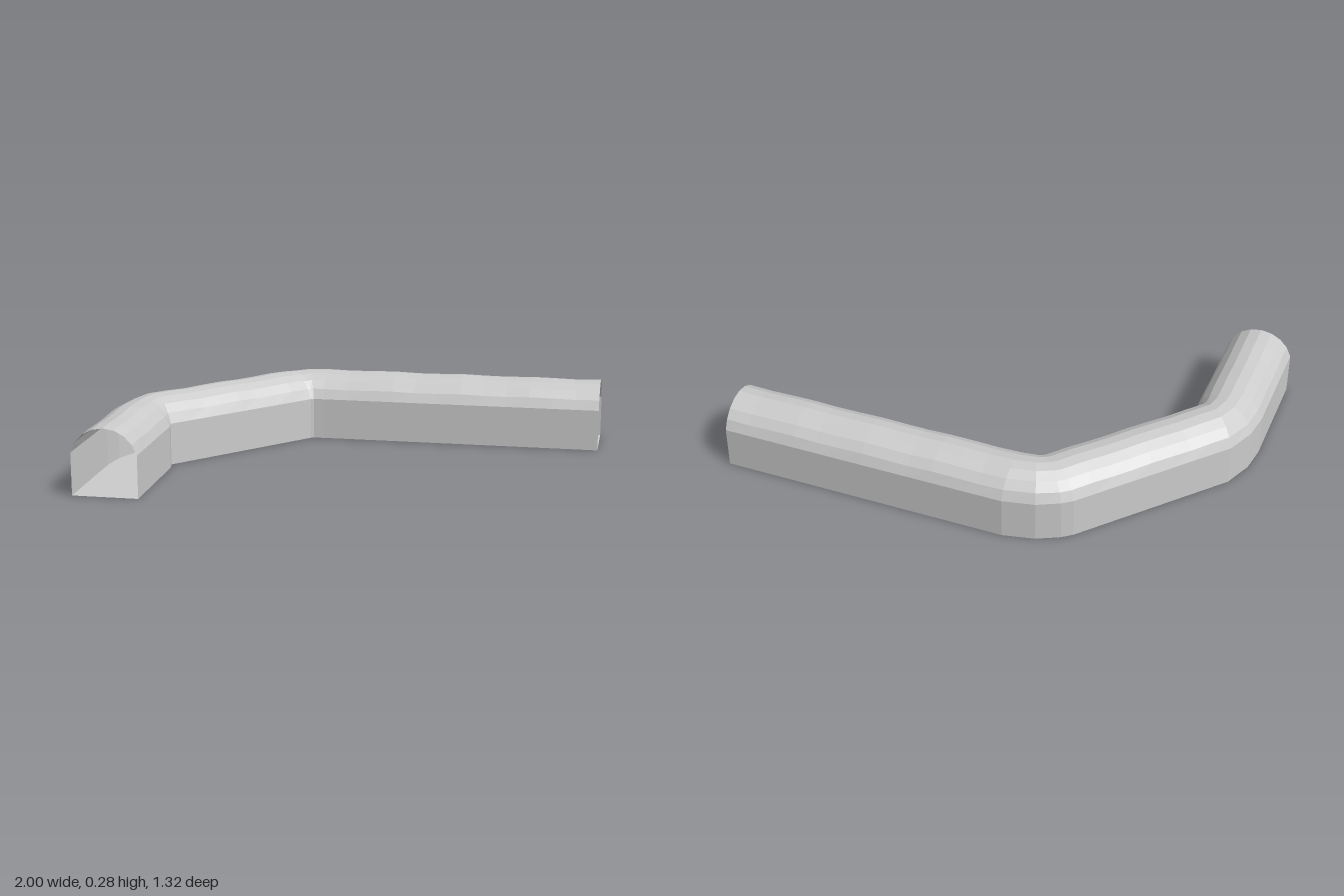
import * as THREE from 'three';

// Plan of the tunnel: outer wall [x, z] and inner wall [x, z] at each station,
// with the number of steps to the next station
const stations = [
  [-1, 0.66, -0.73, 0.66, 5],
  [-1, 0.2, -0.73, 0.2, 1],
  [-0.985, 0.09, -0.735, 0.175, 1],
  [-0.935, -0.03, -0.74, 0.15, 8],
  [-0.46, -0.56, -0.255, -0.385, 1],
  [-0.42, -0.59, -0.248, -0.388, 1],
  [-0.33, -0.635, -0.243, -0.391, 1],
  [-0.2, -0.663, -0.2, -0.393, 12],
  [1, -0.663, 1, -0.393, 0],
];

const WALL = 0.175, RISE = 0.103, HALF = 0.135;

// Cross-section as [position across 0..1, height]: wall, circular arch, wall
function archProfile(segments = 8) {
  const r = (HALF * HALF + RISE * RISE) / (2 * RISE);
  const half = Math.asin(HALF / r);
  const points = [[0, 0]];
  for (let i = 0; i <= segments; i++) {
    const a = -half + (2 * half * i) / segments;
    points.push([0.5 + (r * Math.sin(a)) / (2 * HALF), WALL + RISE - r + r * Math.cos(a)]);
  }
  points.push([1, 0]);
  return points;
}

// Subdivide the long runs between stations
function planSections() {
  const out = [];
  stations.forEach((s, i) => {
    const next = stations[i + 1];
    if (!next) return out.push(s.slice(0, 4));
    for (let k = 0; k < s[4]; k++) {
      out.push([0, 1, 2, 3].map((c) => THREE.MathUtils.lerp(s[c], next[c], k / s[4])));
    }
  });
  return out;
}

// Sweep an open profile through all plan sections
function loft(sections, profile) {
  const position = [], index = [], n = profile.length;
  sections.forEach(([ox, oz, ix, iz], s) => {
    const ripple = 0.002 * Math.sin(s * 1.9); // slightly uneven roof
    for (const [t, y] of profile) {
      position.push(ox + (ix - ox) * t, y > WALL + 0.01 ? y + ripple : y, oz + (iz - oz) * t);
    }
    if (s === 0) return;
    for (let j = 0; j < n - 1; j++) {
      const a = (s - 1) * n + j, b = a + 1, c = a + n, d = c + 1;
      index.push(a, b, c, b, d, c);
    }
  });
  const geometry = new THREE.BufferGeometry();
  geometry.setAttribute('position', new THREE.Float32BufferAttribute(position, 3));
  geometry.setIndex(index);
  geometry.computeVertexNormals();
  return geometry;
}

export function createModel() {
  const group = new THREE.Group();
  group.name = 'bentTunnel';
  const material = new THREE.MeshStandardMaterial({
    color: 0xcccccc, flatShading: true, side: THREE.DoubleSide,
  });
  const sections = planSections();

  // Side walls and arched roof, open at both ends
  const shell = new THREE.Mesh(loft(sections, archProfile()), material);
  shell.name = 'archedShell';

  // Flat floor, running from inner to outer wall so it faces down
  const floor = new THREE.Mesh(loft(sections, [[1, 0], [0, 0]]), material);
  floor.name = 'floor';

  group.add(shell, floor);
  return group;
}
